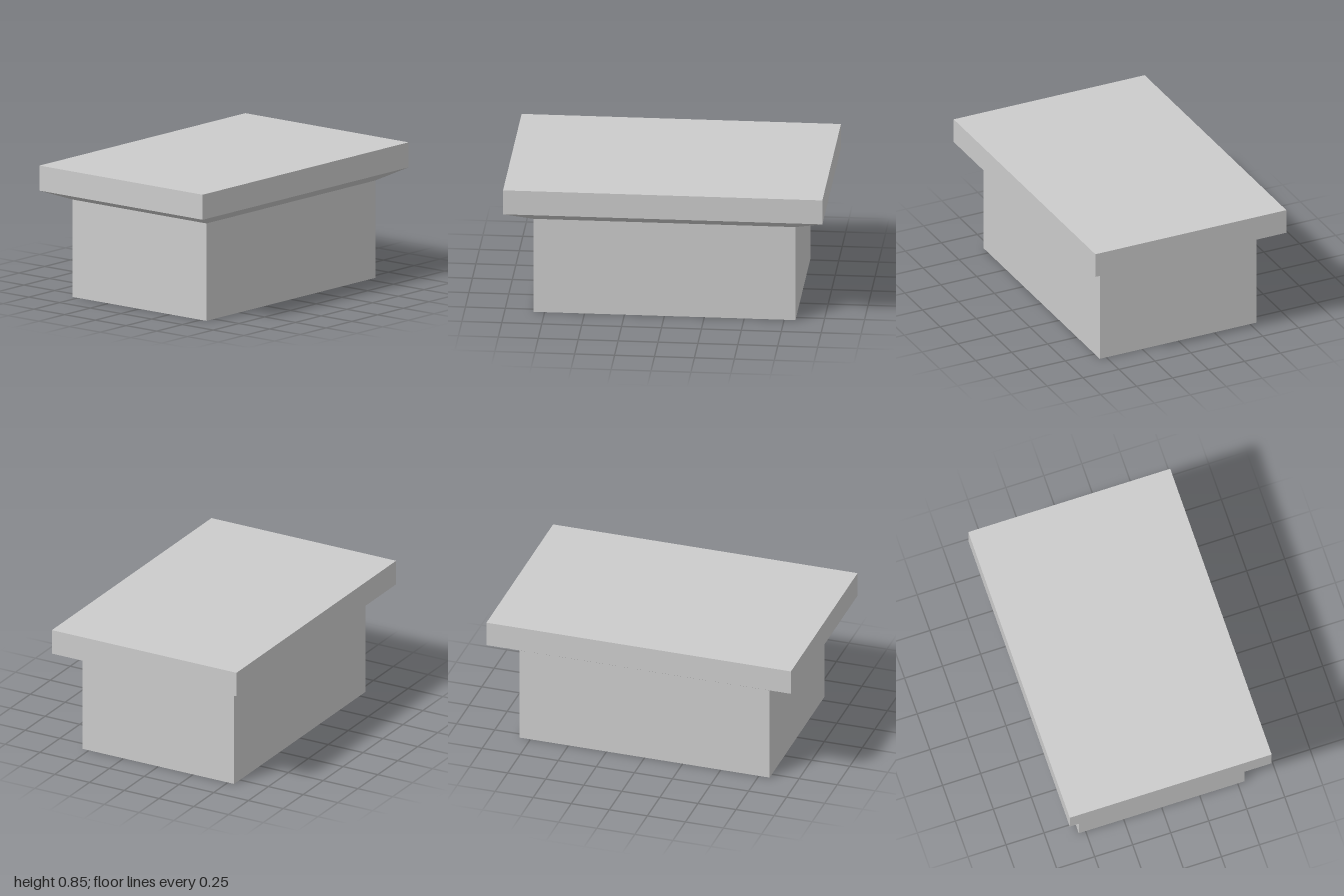
import * as THREE from 'three';

export function createModel() {
  const group = new THREE.Group();
  group.name = 'pedestalBlock';
  const stone = new THREE.MeshStandardMaterial({ color: 0xcccccc });
  stone.name = 'light grey';
  stone.flatShading = true;

  // Four-sided turned profile of [half width in x, height] points, bottom to top
  const depthRatio = 0.664;
  function addTier(name, profile) {
    const points = profile.map(([halfWidth, y]) => new THREE.Vector2(halfWidth * Math.SQRT2, y));
    const lathe = new THREE.LatheGeometry(points, 4, Math.PI / 4);
    lathe.scale(1, 1, depthRatio);
    const geometry = lathe.toNonIndexed();
    geometry.computeVertexNormals();
    const mesh = new THREE.Mesh(geometry, stone);
    mesh.name = name;
    group.add(mesh);
  }

  // Base block with closed underside
  addTier('base', [[0, 0], [0.821, 0], [0.821, 0.622]]);
  // Sloping underside that widens to the top slab
  addTier('flare', [[0.821, 0.622], [1, 0.692]]);
  // Overhanging slab with closed top
  addTier('topSlab', [[1, 0.692], [1, 0.852], [0, 0.852]]);

  return group;
}
